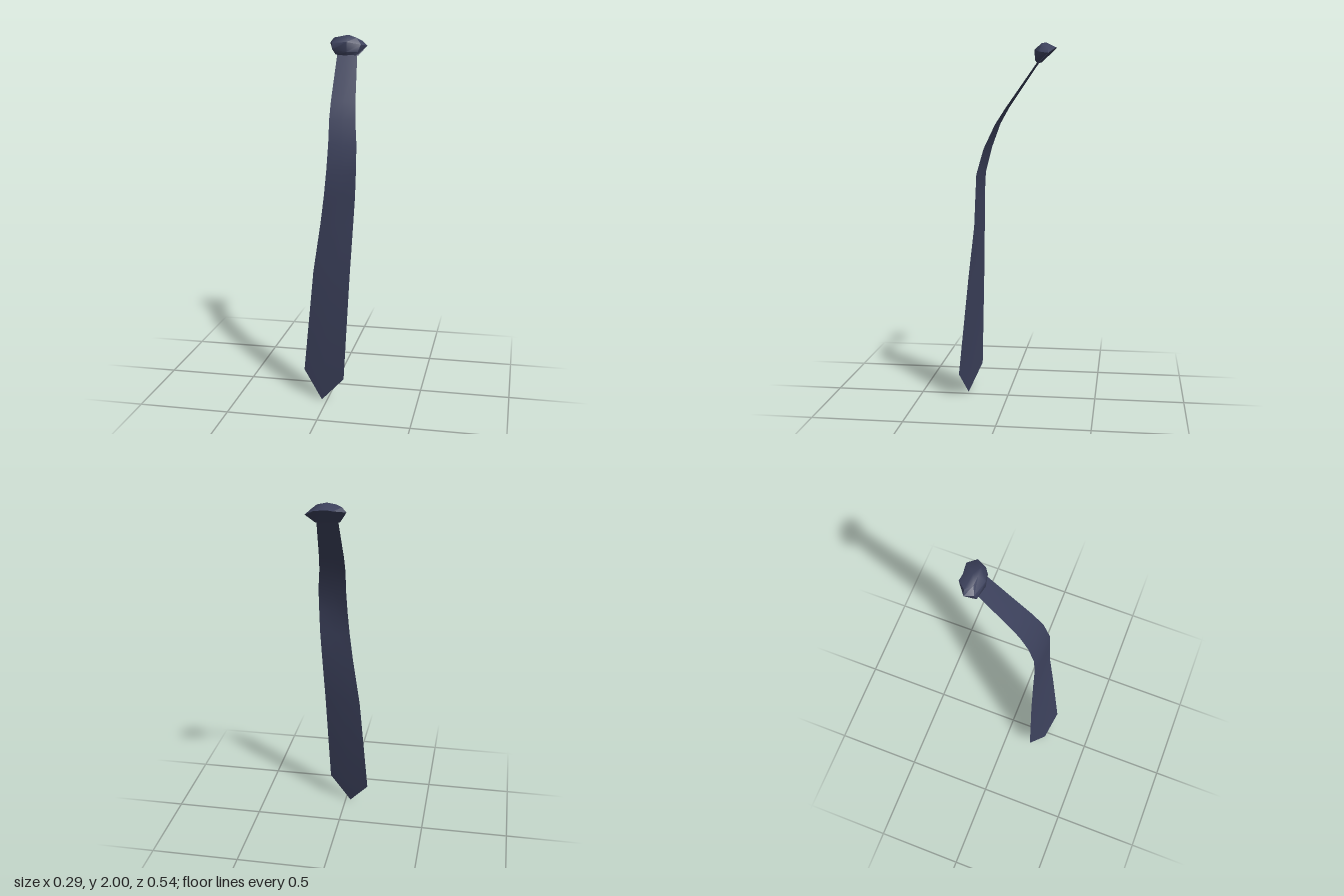
import * as THREE from 'three';
import { toCreasedNormals } from 'three/addons/utils/BufferGeometryUtils.js';

const cloth = new THREE.MeshStandardMaterial({ color: 0x3c415c, side: THREE.DoubleSide });
cloth.name = 'navy cloth';

// Joins cross-sections of equal length with quads, skipping collapsed corners.
function loft(rows, closed, end) {
  const out = [];
  const tri = (a, b, c) => {
    if (a !== b && b !== c && a !== c) out.push(...a, ...b, ...c);
  };
  const n = rows[0].length;
  for (let r = 0; r < rows.length - 1; r++) {
    for (let i = 0; i < (closed ? n : n - 1); i++) {
      const j = (i + 1) % n, a = rows[r], b = rows[r + 1];
      tri(a[i], a[j], b[j]);
      tri(a[i], b[j], b[i]);
    }
  }
  // fan from the last row to a single end point
  const last = rows[rows.length - 1];
  for (let i = 0; i < (closed ? n : n - 1); i++) tri(last[i], last[(i + 1) % n], end);
  const g = new THREE.BufferGeometry();
  g.setAttribute('position', new THREE.Float32BufferAttribute(out, 3));
  return toCreasedNormals(g, 0.7);
}

export function createModel() {
  const group = new THREE.Group();
  group.name = 'necktie';

  // Twisting blade: height, left-hand x and z, right-hand x and z
  const rows = [
    [1.9, -0.025, -0.175, 0.088, -0.175],
    [1.65, -0.027, -0.005, 0.11, -0.002],
    [1.56, -0.026, 0.045, 0.12, 0.055],
    [1.43, -0.022, 0.092, 0.138, 0.115],
    [1.29, -0.025, 0.128, 0.143, 0.155],
    [1.15, -0.037, 0.137, 0.14, 0.162],
    [1.0, -0.055, 0.14, 0.132, 0.17],
    [0.72, -0.095, 0.15, 0.12, 0.205],
    [0.145, -0.145, 0.17, 0.1, 0.268],
  ].map(([y, xl, zl, xr, zr]) => [
    [xr, y, zr],
    [(xl + xr) / 2, y, (zl + zr) / 2 + 0.003],
    [xl, y, zl],
  ]);
  const blade = new THREE.Mesh(loft(rows, false, [-0.03, 0, 0.235]), cloth);
  blade.name = 'blade';
  group.add(blade);

  // Knot: rings run left, front, right, back
  const neck = [
    [-0.035, 1.893, -0.175], [-0.02, 1.889, -0.168], [0.03, 1.886, -0.166], [0.08, 1.885, -0.168],
    [0.095, 1.888, -0.175], [0.08, 1.89, -0.185], [0.03, 1.893, -0.188], [-0.02, 1.895, -0.185],
  ];
  const rim = [
    [-0.075, 1.957, -0.22], [-0.052, 1.92, -0.165], [0.03, 1.908, -0.151], [0.092, 1.908, -0.165],
    [0.135, 1.94, -0.233], [0.085, 1.97, -0.27], [0.02, 1.975, -0.262], [-0.015, 1.972, -0.268],
  ];
  const back = rim.slice(5);
  const bulge = [
    rim[0], [-0.056, 1.957, -0.175], [0.03, 1.962, -0.15], [0.107, 1.948, -0.18], rim[4], ...back,
  ];
  const crest = [
    [-0.054, 1.984, -0.225], [-0.02, 1.988, -0.19], [0.03, 1.995, -0.187], [0.08, 1.985, -0.192],
    [0.108, 1.966, -0.228], ...back,
  ];
  const knot = new THREE.Mesh(loft([neck, rim, bulge, crest], true, [0.03, 2, -0.213]), cloth);
  knot.name = 'knot';
  group.add(knot);

  return group;
}
